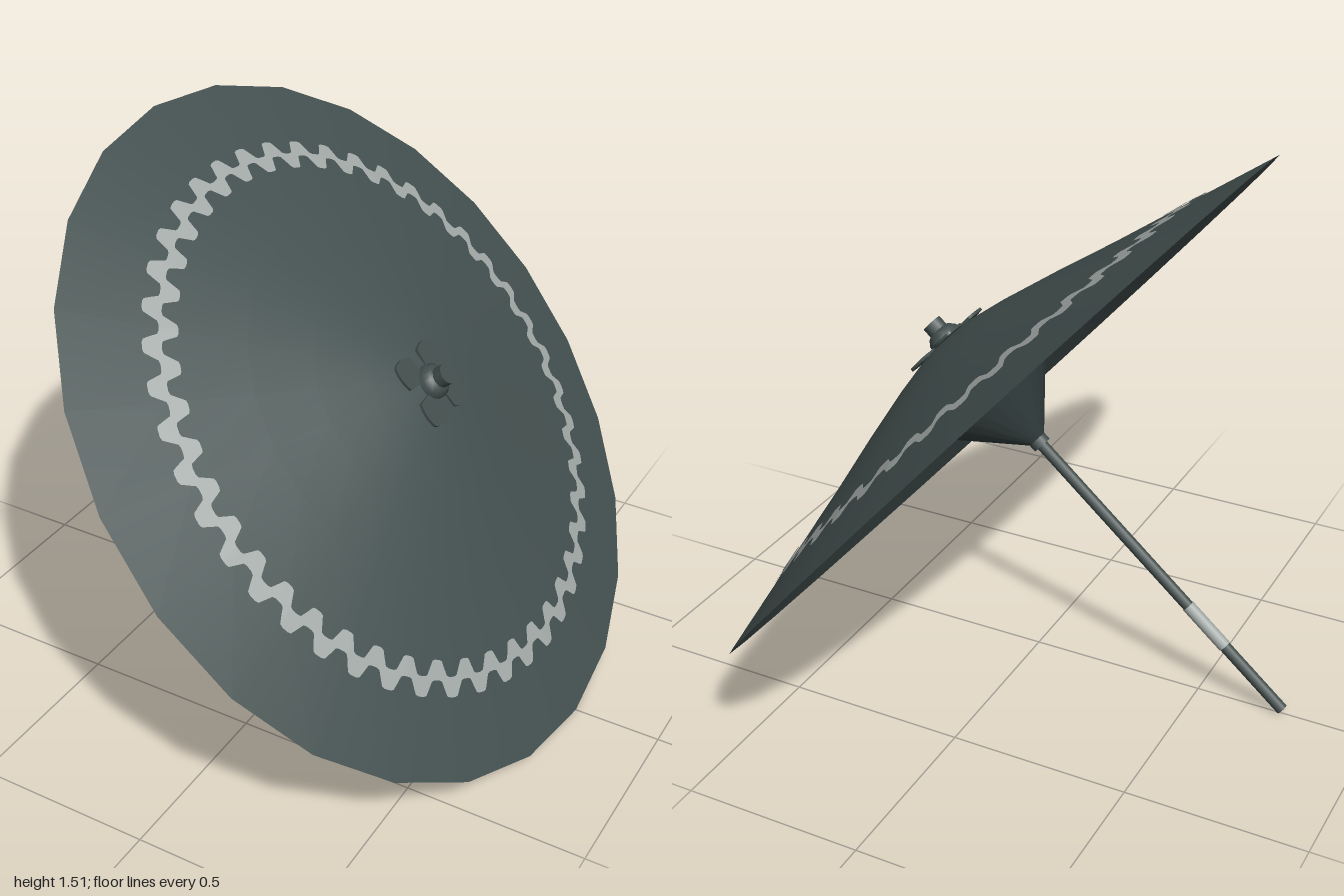
import * as THREE from 'three';

const SIDES = 24;
const mat = (name, color, side = THREE.FrontSide) => {
  const m = new THREE.MeshStandardMaterial({ color, side });
  m.name = name;
  return m;
};

// canopy profile: radius, height above the rim plane (rim to crown)
const PROFILE = [[1, 0], [0.75, 0.066], [0.52, 0.126], [0.35, 0.174], [0.2, 0.213], [0.09, 0.236], [0, 0.248]];

function canopyHeight(r) {
  for (let i = 1; i < PROFILE.length; i++) {
    const [r0, h0] = PROFILE[i - 1], [r1, h1] = PROFILE[i];
    if (r >= r1) return h0 + (h1 - h0) * (r0 - r) / (r0 - r1);
  }
  return PROFILE[PROFILE.length - 1][1];
}

// wavy ring that lies on the faceted canopy, shifted by a small offset
function waveRing(offset) {
  const waves = 44, steps = waves * 12, panel = 2 * Math.PI / SIDES;
  const pos = [], idx = [];
  for (let i = 0; i <= steps; i++) {
    const a = i / steps * 2 * Math.PI;
    const swing = 0.021 * THREE.MathUtils.clamp(1.7 * Math.cos(a * waves), -1, 1);
    const off = (a % panel) - panel / 2;
    for (const half of [-0.025, 0.025]) {
      const r = 0.745 + swing + half;
      const h = canopyHeight(r * Math.cos(off) / Math.cos(panel / 2));
      pos.push(r * Math.cos(a), h + offset, r * Math.sin(a));
    }
    if (i < steps) {
      const k = i * 2;
      idx.push(k, k + 2, k + 1, k + 1, k + 2, k + 3);
    }
  }
  const g = new THREE.BufferGeometry();
  g.setAttribute('position', new THREE.Float32BufferAttribute(pos, 3));
  g.setIndex(idx);
  g.computeVertexNormals();
  return g;
}

const lathe = (pts, sides) => new THREE.LatheGeometry(pts.map(p => new THREE.Vector2(...p)), sides);

export function createModel() {
  const model = new THREE.Group();
  model.name = 'parasol';
  const fabric = mat('slate fabric', 0x445150, THREE.DoubleSide);
  const lining = mat('dark lining', 0x333e3e, THREE.DoubleSide);
  const wood = mat('slate wood', 0x414d4c);
  const pale = mat('pale grey', 0xa3aaa7, THREE.DoubleSide);

  // everything is built upright around the shaft, then tilted
  const tilted = new THREE.Group();
  tilted.name = 'tiltedParasol';
  tilted.rotation.z = -0.853;
  tilted.position.set(0.1025, 0.755, 0);
  model.add(tilted);
  const add = (name, geometry, material, y = 0) => {
    const m = new THREE.Mesh(geometry, material);
    m.name = name;
    m.position.y = y;
    tilted.add(m);
    return m;
  };
  const rod = (name, r, from, to, material) =>
    add(name, new THREE.CylinderGeometry(r, r, to - from, 12), material, (from + to) / 2);

  // canopy with its wavy band, outside and inside
  add('canopy', lathe(PROFILE, SIDES), fabric);
  add('outerBand', waveRing(0.004), pale);
  add('innerBand', waveRing(-0.004), pale);

  // cone under the canopy and its collar
  add('innerCone', lathe([[0.02, -0.135], [0.32, 0.181]], SIDES), lining);
  rod('collar', 0.027, -0.15, -0.11, wood);

  // shaft and grip band
  rod('shaft', 0.0165, -1.128, 0.24, wood);
  rod('gripBand', 0.0185, -0.894, -0.745, pale);

  // four petals around the crown
  const petal = new THREE.Shape();
  petal.moveTo(0.012, 0.012);
  petal.lineTo(0.022, 0.09);
  petal.quadraticCurveTo(0.05, 0.103, 0.08, 0.096);
  petal.quadraticCurveTo(0.094, 0.094, 0.096, 0.08);
  petal.quadraticCurveTo(0.103, 0.05, 0.09, 0.022);
  petal.closePath();
  const petalGeo = new THREE.ExtrudeGeometry(petal, { depth: 0.008, bevelEnabled: false, curveSegments: 4 });
  petalGeo.rotateX(-Math.PI / 2);
  for (let i = 0; i < 4; i++) add('petal', petalGeo, wood, 0.237).rotation.y = i * Math.PI / 2;

  // crown knob
  add('crownKnob', lathe([[0.05, 0.235], [0.048, 0.256], [0.036, 0.27], [0.025, 0.276]], 16), wood);
  rod('crownCap', 0.029, 0.27, 0.302, wood);

  return model;
}
